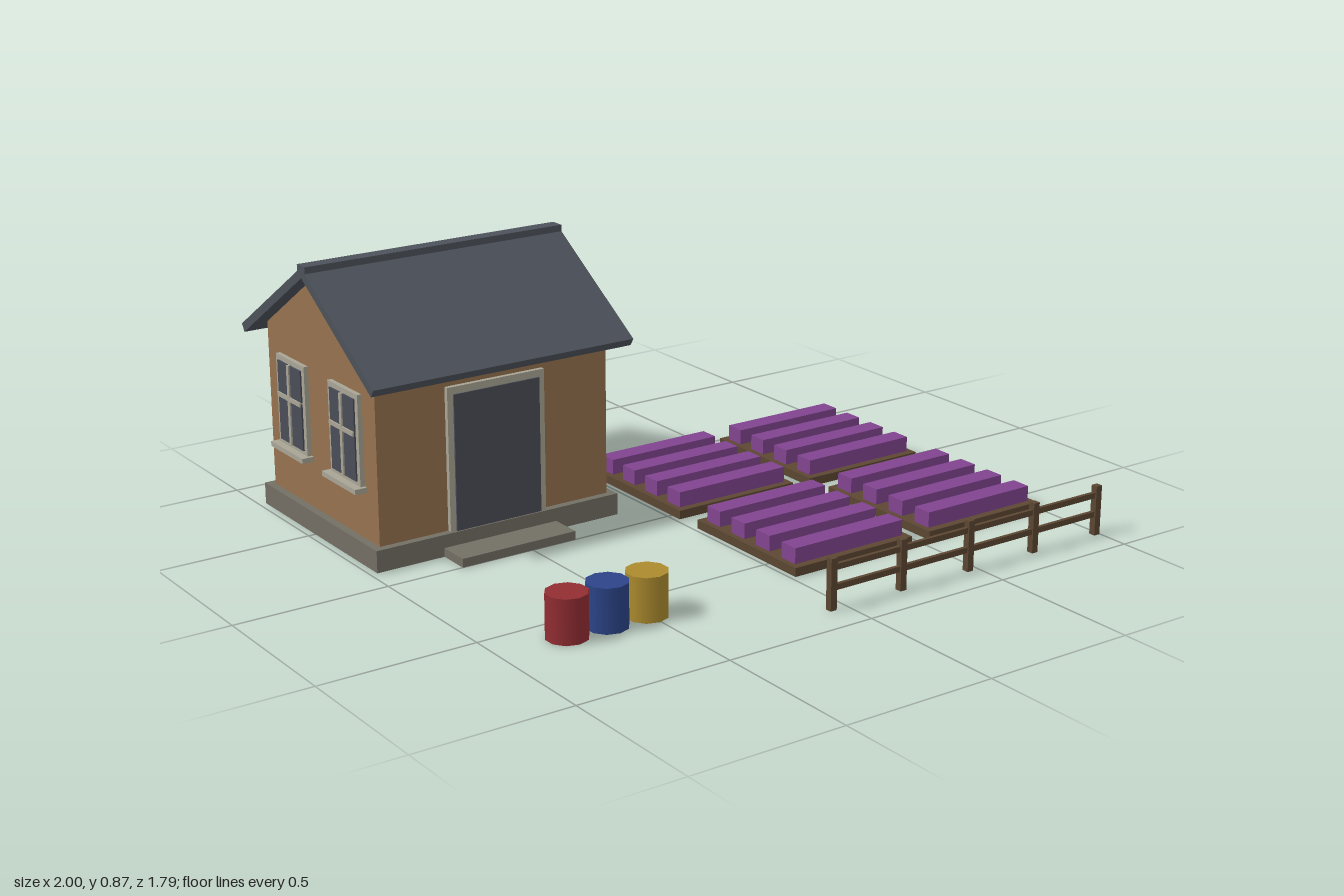
import * as THREE from 'three';

const mat = (name, color) => {
  const m = new THREE.MeshStandardMaterial({ color });
  m.name = name;
  return m;
};

export function createModel() {
  const wall = mat('tan wall', 0x97724f);
  const slate = mat('slate roof', 0x4d525b);
  const glass = mat('dark glass', 0x4a4e58);
  const trim = mat('pale trim', 0xa9a595);
  const stone = mat('grey stone', 0x736f64);
  const wood = mat('brown wood', 0x5c4733);
  const purple = mat('purple crop', 0x81448f);
  const red = mat('red barrel', 0x922d33);
  const blue = mat('blue barrel', 0x2c4488);
  const yellow = mat('yellow barrel', 0xac8b2e);

  const model = new THREE.Group();
  model.name = 'gardenCottage';

  const box = (parent, name, material, w, h, d, x, y, z) => {
    const mesh = new THREE.Mesh(new THREE.BoxGeometry(w, h, d), material);
    mesh.name = name;
    mesh.position.set(x, y, z);
    parent.add(mesh);
    return mesh;
  };

  const group = (parent, name, x = 0, y = 0, z = 0) => {
    const g = new THREE.Group();
    g.name = name;
    g.position.set(x, y, z);
    parent.add(g);
    return g;
  };

  // Extrudes a gable profile (depth, height) along x, centred on the parent
  const gable = (parent, name, material, points, length) => {
    const shape = new THREE.Shape(points.map(([u, v]) => new THREE.Vector2(u, v)));
    const geo = new THREE.ExtrudeGeometry(shape, { depth: length, bevelEnabled: false });
    geo.translate(0, 0, -length / 2).rotateY(Math.PI / 2);
    const mesh = new THREE.Mesh(geo, material);
    mesh.name = name;
    parent.add(mesh);
  };

  // House body, centred on its own ridge line
  const house = group(model, 'house', -0.547, 0, -0.472);
  const halfW = 0.405, halfD = 0.34;
  box(house, 'foundation', stone, 0.86, 0.07, 0.73, 0, 0.035, 0);
  box(house, 'doorStep', stone, 0.4, 0.028, 0.13, 0, 0.014, 0.408);
  gable(house, 'walls', wall,
    [[-halfD, 0.07], [halfD, 0.07], [halfD, 0.606], [0, 0.827], [-halfD, 0.606]], halfW * 2);
  gable(house, 'roof', slate,
    [[-0.408, 0.563], [0, 0.827], [0.408, 0.563], [0.4235, 0.587], [0, 0.86], [-0.4235, 0.587]], 0.905);
  box(house, 'ridgeCap', slate, 0.905, 0.025, 0.048, 0, 0.853, 0);

  // Front door
  const door = group(house, 'door', 0, 0.07, halfD);
  box(door, 'doorFrame', trim, 0.34, 0.455, 0.03, 0, 0.2275, 0);
  box(door, 'doorPanel', glass, 0.3, 0.432, 0.04, 0, 0.216, 0);

  // Window facing +z in its own space, turned onto a wall
  const addWindow = (x, z, angle) => {
    const w = group(house, 'window', x, 0.38, z);
    w.rotation.y = angle;
    box(w, 'windowFrame', trim, 0.185, 0.29, 0.03, 0, 0, 0);
    box(w, 'windowPane', glass, 0.15, 0.257, 0.04, 0, 0, 0);
    box(w, 'uprightBar', trim, 0.014, 0.257, 0.05, 0, 0, 0);
    box(w, 'crossBar', trim, 0.15, 0.014, 0.05, 0, 0.02, 0);
    box(w, 'windowSill', trim, 0.21, 0.016, 0.08, 0, -0.15, 0);
  };
  for (const s of [-1, 1]) {
    addWindow(halfW, s * 0.169, Math.PI / 2);
    addWindow(-halfW, s * 0.169, -Math.PI / 2);
    addWindow(s * 0.2, -halfD, Math.PI);
  }

  // Barrels
  [red, blue, yellow].forEach((material, i) => {
    const barrel = new THREE.Mesh(new THREE.CylinderGeometry(0.064, 0.064, 0.138, 10), material);
    barrel.name = 'barrel';
    barrel.position.set(-0.775 + i * 0.135, 0.069, 0.612);
    model.add(barrel);
  });

  // Planting beds with four crop rows each
  for (const x of [0.241, 0.761]) {
    for (const z of [-0.203, 0.384]) {
      const bed = group(model, 'plantingBed', x, 0, z);
      box(bed, 'bedBase', wood, 0.45, 0.028, 0.493, 0, 0.014, 0);
      for (let i = 0; i < 4; i++) {
        box(bed, 'cropRow', purple, 0.413, 0.051, 0.066, 0, 0.0525, -0.1875 + i * 0.125);
      }
    }
  }

  // Fence
  const fence = group(model, 'fence', 0.467, 0, 0.884);
  for (let i = -2; i <= 2; i++) {
    box(fence, 'fencePost', wood, 0.022, 0.16, 0.022, i * 0.26, 0.08, 0);
  }
  for (const y of [0.068, 0.13]) {
    box(fence, 'fenceRail', wood, 1.04, 0.018, 0.012, 0, y, 0);
  }

  return model;
}
